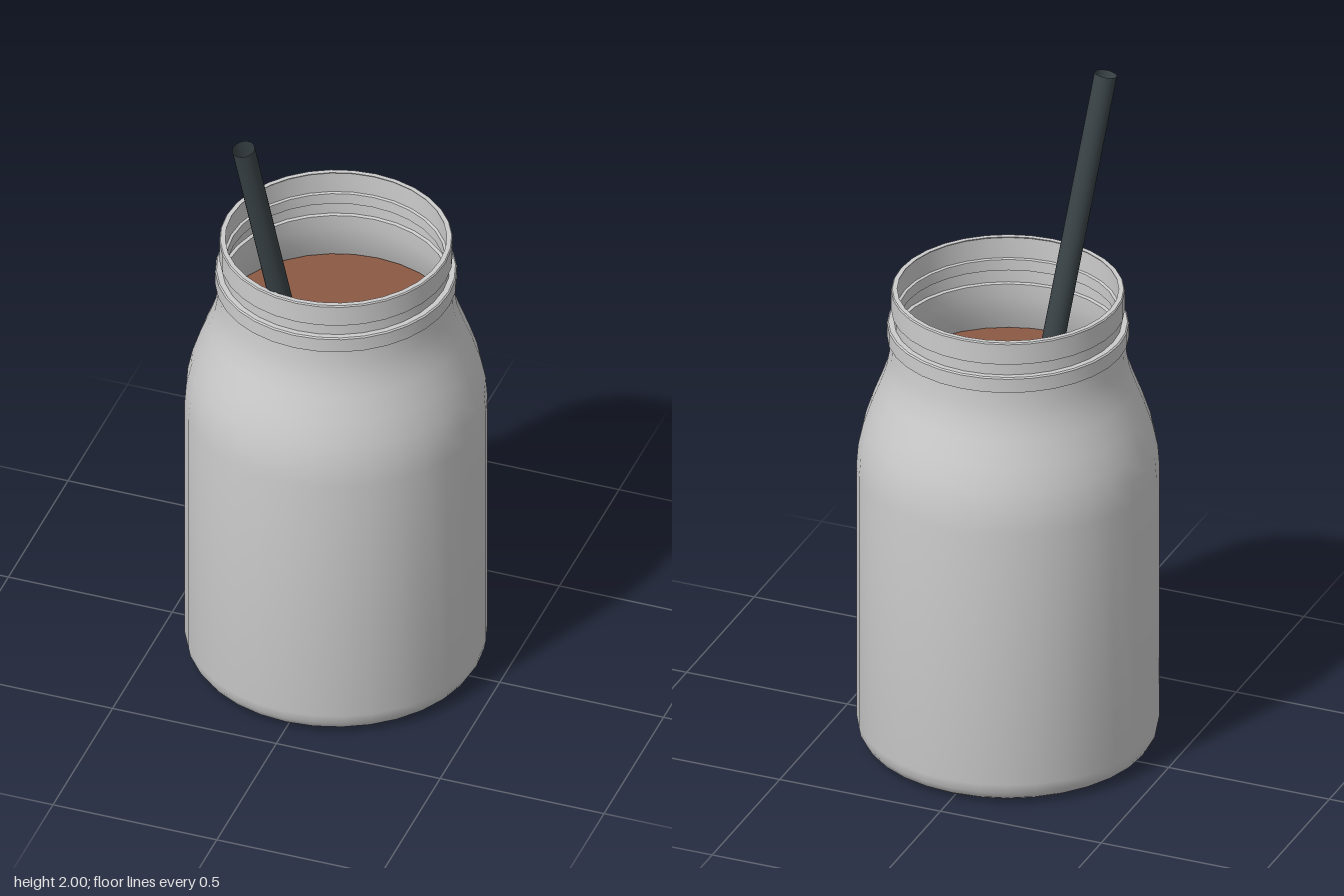
import * as THREE from 'three';
import { toCreasedNormals } from 'three/addons/utils/BufferGeometryUtils.js';

const SIDES = 32;

// Turned part with smooth walls and crisp corners
function turned(name, profile, material) {
  const points = profile.map(([r, y]) => new THREE.Vector2(r, y));
  const mesh = new THREE.Mesh(toCreasedNormals(new THREE.LatheGeometry(points, SIDES), 0.6), material);
  mesh.name = name;
  return mesh;
}

export function createModel() {
  const model = new THREE.Group();
  model.name = 'jarWithStraw';

  const glass = new THREE.MeshStandardMaterial({ color: 0xcccccc });
  const drink = new THREE.MeshStandardMaterial({ color: 0x8b5a45 });
  const plastic = new THREE.MeshStandardMaterial({ color: 0x3a4347, side: THREE.DoubleSide });

  // Outer wall: rounded base, straight body, curved shoulder, two bands and the lip
  const wall = [
    [0.37, 0], [0.395, 0.006], [0.417, 0.02], [0.43, 0.042], [0.435, 0.07],
    [0.435, 0.88], [0.43, 0.945], [0.416, 1.01], [0.393, 1.08], [0.366, 1.15],
    [0.349, 1.2], [0.34, 1.25], [0.337, 1.296],
    [0.347, 1.298], [0.347, 1.342], [0.343, 1.346], [0.327, 1.346],
    [0.327, 1.381], [0.335, 1.383], [0.335, 1.448], [0.332, 1.452],
  ];
  // Inner wall follows the outer one at the thickness of the glass
  const inner = wall.slice(3).reverse().map(([r, y]) => [r - 0.014, y]);
  // Hollow underside, then up the outside and down the inside
  const underside = [[0, 0.05], [0.2, 0.042], [0.28, 0.03], [0.32, 0.01], [0.345, 0.002]];
  model.add(turned('jar', [...underside, ...wall, ...inner, [0.38, 0.062], [0, 0.065]], glass));

  // Drink: fills the jar up to the shoulder, its base shows underneath
  model.add(turned('drink', [
    [0, 0.03], [0.3, 0.03], [0.38, 0.05], [0.415, 0.08], [0.415, 0.88],
    [0.41, 0.945], [0.396, 1.01], [0.373, 1.08], [0.352, 1.14], [0, 1.14],
  ], drink));

  // Straw: open tube leaning to the front right
  const top = new THREE.Vector3(-0.143, 1.992, 0.383);
  const bottom = new THREE.Vector3(0.084, 0.085, 0.004);
  const axis = top.clone().sub(bottom);
  const straw = new THREE.Mesh(
    new THREE.CylinderGeometry(0.033, 0.033, axis.length(), 24, 1, true), plastic);
  straw.name = 'straw';
  straw.position.copy(top).add(bottom).multiplyScalar(0.5);
  straw.quaternion.setFromUnitVectors(new THREE.Vector3(0, 1, 0), axis.normalize());
  model.add(straw);

  return model;
}
